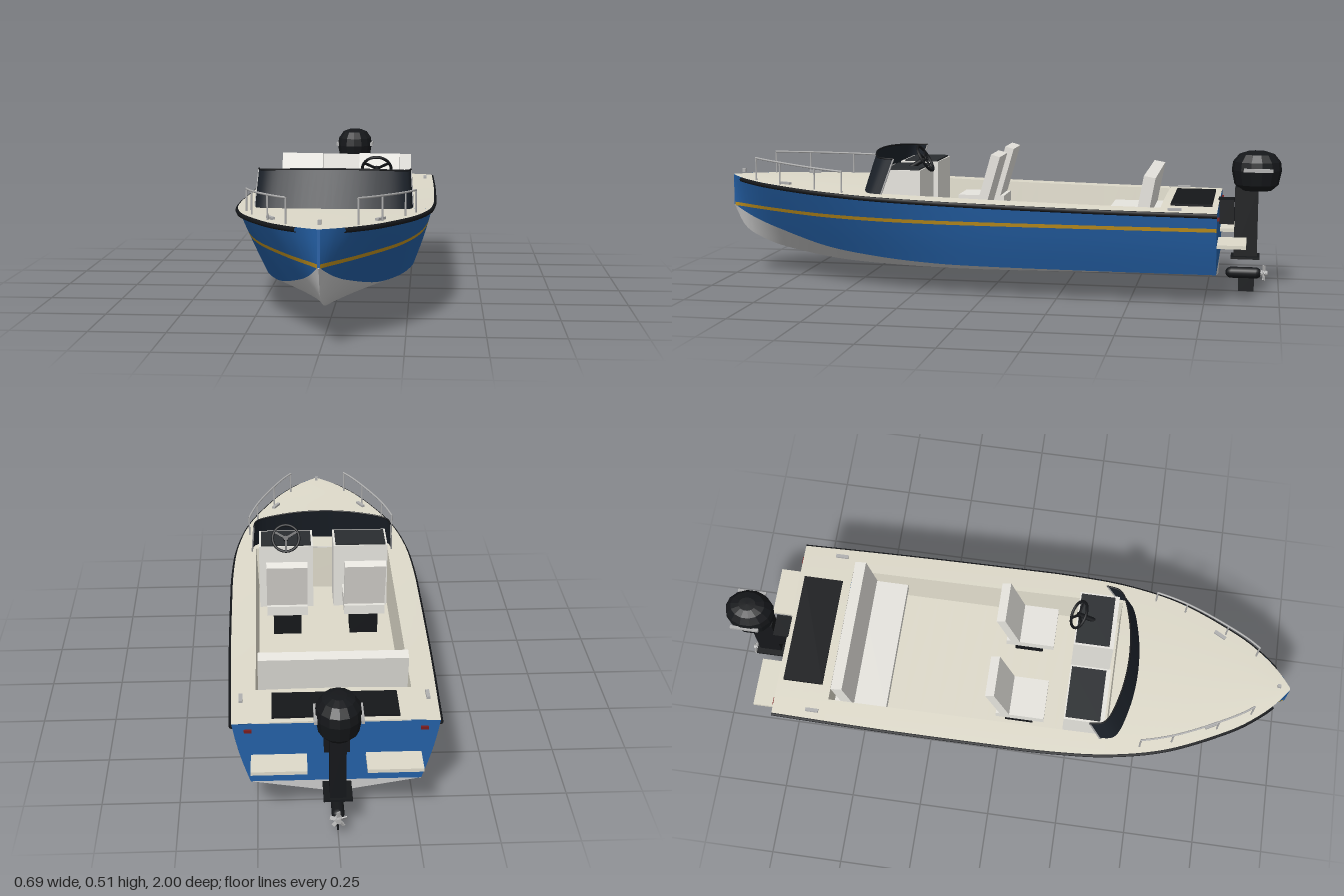
import * as THREE from 'three';
import { toCreasedNormals } from 'three/addons/utils/BufferGeometryUtils.js';

const BLUE = 0x2460a6, GOLD = 0xc4941f, GREY = 0xcccccc, CREAM = 0xdedaca, SEAT = 0xe6e4de,
  BLACK = 0x15171a, GLASS = 0x1c222a, DASH = 0x2a2d30, STEEL = 0xb0b0b0, RED = 0x7a1c1c;
const V = (x, y, z) => new THREE.Vector3(x, y, z);
const mat = (color, extra = {}) => new THREE.MeshStandardMaterial({ color, ...extra });

// Hull lines: half widths and heights at shared stations
const ZS = [-0.79, -0.4, 0, 0.2, 0.4, 0.6, 0.8, 0.9, 0.96, 1];
const line = (xs, ys) =>
  new THREE.CatmullRomCurve3(ZS.map((z, i) => V(xs ? xs[i] : 0, ys[i], z)), false, 'catmullrom');
const sheer = line([0.325, 0.333, 0.335, 0.333, 0.318, 0.272, 0.18, 0.112, 0.055, 0.004],
  [0.32, 0.325, 0.334, 0.34, 0.347, 0.355, 0.363, 0.368, 0.371, 0.373]);
const chine = line([0.27, 0.27, 0.268, 0.25, 0.21, 0.15, 0.075, 0.04, 0.018, 0.003],
  [0.105, 0.105, 0.107, 0.11, 0.12, 0.14, 0.185, 0.215, 0.24, 0.26]);
const keel = line(null, [0.06, 0.05, 0.045, 0.046, 0.053, 0.068, 0.105, 0.14, 0.18, 0.255]);

// Curve parameter at a given z
function tAt(z) {
  let a = 0, b = 1;
  for (let i = 0; i < 30; i++) {
    const m = (a + b) / 2;
    if (sheer.getPoint(m).z < z) a = m; else b = m;
  }
  return (a + b) / 2;
}
const range = (n, a, b) => Array.from({ length: n + 1 }, (_, i) => a + ((b - a) * i) / n);

// Skin a grid of points
function loft(rows) {
  const n = rows[0].length, index = [];
  for (let i = 0; i < rows.length - 1; i++)
    for (let j = 0; j < n - 1; j++) {
      const a = i * n + j, b = a + n;
      index.push(a, a + 1, b, b, a + 1, b + 1);
    }
  const g = new THREE.BufferGeometry().setFromPoints(rows.flat());
  g.setIndex(index);
  return toCreasedNormals(g, 0.6);
}

// Points up the topside between two heights
function topside(t, y0, y1, n) {
  const c = chine.getPoint(t), s = sheer.getPoint(t);
  return range(n, y0 ?? c.y, y1 ?? s.y).map((y) => {
    const k = THREE.MathUtils.clamp((y - c.y) / (s.y - c.y), 0, 1);
    return V(c.x + (s.x - c.x) * k + Math.sin(Math.PI * k) * 0.02 * c.x, Math.max(y, c.y), c.z);
  });
}
const flip = (pts) => pts.map((p) => V(-p.x, p.y, p.z)).reverse();

export function createModel() {
  const boat = new THREE.Group();
  boat.name = 'motorboat';
  const add = (name, geo, color, pos = [0, 0, 0], rot = [0, 0, 0], extra) => {
    const m = new THREE.Mesh(geo, mat(color, extra));
    m.name = name;
    m.position.set(...pos);
    m.rotation.set(...rot);
    boat.add(m);
  };
  const box = (name, color, size, pos, rot) => add(name, new THREE.BoxGeometry(...size), color, pos, rot);
  const skin = (name, rows, color) => add(name, loft(rows), color, undefined, undefined, { side: THREE.DoubleSide });
  const tube = (name, pts, r, color, seg = 24) =>
    add(name, new THREE.TubeGeometry(new THREE.CatmullRomCurve3(pts), seg, r, 8), color, undefined, undefined, { side: THREE.DoubleSide });

  // Hull: bottom, topsides, gold stripe and stem
  const ts = range(70, 0, 1);
  skin('hullBottom', ts.map((t) => {
    const c = chine.getPoint(t), k = keel.getPoint(t);
    return range(8, -1, 1).map((u) => V(c.x * u, k.y + (c.y - k.y) * Math.abs(u), c.z));
  }), GREY);
  const bands = [['lowerTopside', null, 0.256, 5, BLUE], ['stripe', 0.256, 0.269, 1, GOLD], ['upperTopside', 0.269, null, 3, BLUE]];
  for (const [name, y0, y1, n, color] of bands) {
    const rows = ts.map((t) => topside(t, y0, y1, n));
    skin(name + 'Left', rows, color);
    skin(name + 'Right', rows.map(flip), color);
  }
  box('stem', BLUE, [0.009, 0.113, 0.008], [0, 0.316, 0.996]);
  // Transom
  const c0 = chine.getPoint(0), k0 = keel.getPoint(0);
  skin('transom', topside(0, null, null, 6).map((p) => [p, V(-p.x, p.y, p.z)]), BLUE);
  skin('transomBottom', [[k0, k0.clone()], [c0, V(-c0.x, c0.y, c0.z)]], GREY);

  // Deck with cockpit opening
  const W = 0.25, FLOOR = 0.18, Z0 = -0.6, Z1 = 0.385;
  const deckRow = (z, from, to) => {
    const s = sheer.getPoint(tAt(z));
    return range(10, from ?? s.x, to ?? -s.x).map((x) => V(x, s.y + 0.02 * s.x * (1 - (x / s.x) ** 2), z));
  };
  const rim = (z) => deckRow(z, W, -W)[0].y;
  skin('rearDeck', range(4, -0.79, Z0).map((z) => deckRow(z)), CREAM);
  skin('foredeck', range(30, Z1, 1).map((z) => deckRow(z)), CREAM);
  const sideZ = range(16, Z0, Z1);
  skin('sideDeckLeft', sideZ.map((z) => deckRow(z, null, W)), CREAM);
  skin('sideDeckRight', sideZ.map((z) => deckRow(z, -W, null)), CREAM);
  // Cockpit liner
  const B = 0.241;
  skin('cockpitLiner', sideZ.map((z) =>
    [V(W, rim(z), z), V(B, FLOOR, z), V(-B, FLOOR, z), V(-W, rim(z), z)]), CREAM);
  for (const [z, s] of [[Z0, 1], [Z1, -1]])
    skin('cockpitBulkhead', [[V(-B * s, FLOOR, z), V(B * s, FLOOR, z)], deckRow(z, -W * s, W * s).filter((_, i) => i % 10 === 0)].reverse(), CREAM);

  // Windshield
  const arc = new THREE.CatmullRomCurve3([[-0.265, 0.365], [-0.252, 0.415], [-0.15, 0.455], [0, 0.472],
    [0.15, 0.455], [0.252, 0.415], [0.265, 0.365]].map(([x, z]) => V(x, 0.343, z)));
  const foot = arc.getPoints(36);
  const head = foot.map((p) => V(p.x * 0.965, 0.482 - 0.16 * p.x * p.x, p.z - 0.045));
  skin('windshield', [head, foot], GLASS);
  tube('windshieldTopFrame', head, 0.003, BLACK, 40);
  for (const i of [0, 36]) tube('windshieldSideFrame', [foot[i], head[i]], 0.003, STEEL, 1);

  for (const s of [-1, 1]) {
    // Console with dark dash top
    box('console', SEAT, [0.2, 0.25, 0.14], [0.138 * s, 0.305, 0.3]);
    box('dashTop', DASH, [0.185, 0.01, 0.12], [0.138 * s, 0.43, 0.295]);
    // Helm and passenger seats
    box('seatPedestal', BLACK, [0.1, 0.095, 0.1], [0.138 * s, 0.226, 0.07]);
    box('seatCushion', SEAT, [0.145, 0.035, 0.17], [0.138 * s, 0.29, 0.075]);
    box('seatBack', SEAT, [0.145, 0.21, 0.032], [0.138 * s, 0.383, -0.001], [-0.28, 0, 0]);
    // Rub rail
    const end = tAt(0.945);
    tube('rubRail', range(50, 0, end).map((t) => {
      const p = sheer.getPoint(t);
      return V(p.x * s, p.y - 0.008, p.z);
    }), 0.008, BLACK, 60);
    // Bow rail and posts
    const railAt = (z, h) => {
      const p = sheer.getPoint(tAt(z));
      return V((p.x - 0.024) * s, h ? 0.425 + (z - 0.5) * 0.06 : p.y, z);
    };
    tube('bowRail', range(10, 0.5, 0.875).map((z) => railAt(z, 1)), 0.0035, STEEL, 30);
    for (const z of [0.502, 0.61, 0.76, 0.873])
      tube('railPost', [railAt(z, 0), railAt(z, 1)], 0.003, STEEL, 1);
    // Cleats, stern lights and swim platforms
    for (const [x, z, a] of [[0.298, -0.65, 0], [0.17, 0.74, -0.5]]) {
      const y = sheer.getPoint(tAt(z)).y + 0.006;
      box('cleat', STEEL, [0.012, 0.008, 0.045], [x * s, y, z], [0, a * s, 0]);
    }
    box('sternLight', RED, [0.024, 0.01, 0.008], [0.275 * s, 0.295, -0.793]);
    box('swimPlatform', CREAM, [0.175, 0.012, 0.1], [0.18 * s, 0.2, -0.836]);
  }
  // Bow light
  box('bowLight', STEEL, [0.01, 0.014, 0.012], [0, 0.388, 0.96]);

  // Steering wheel: rim, spokes and column
  const wheel = new THREE.Group();
  wheel.name = 'steeringWheel';
  wheel.position.set(0.138, 0.462, 0.235);
  wheel.rotation.x = 0.55;
  const part = (name, geo, rz = 0, rx = 0, z = 0) => {
    const m = new THREE.Mesh(geo, mat(BLACK));
    m.name = name;
    m.position.z = z;
    m.rotation.set(rx, 0, rz);
    wheel.add(m);
  };
  part('wheelRim', new THREE.TorusGeometry(0.049, 0.005, 8, 28));
  for (let i = 0; i < 3; i++)
    part('wheelSpoke', new THREE.BoxGeometry(0.008, 0.048, 0.005).translate(0, 0.024, 0), Math.PI + (i * 2 * Math.PI) / 3);
  part('wheelColumn', new THREE.CylinderGeometry(0.009, 0.009, 0.07, 10), 0, Math.PI / 2, 0.03);
  boat.add(wheel);

  // Stern bench and deck mat
  box('benchBase', CREAM, [0.45, 0.07, 0.17], [0, 0.212, -0.495]);
  box('benchCushion', SEAT, [0.48, 0.035, 0.185], [0, 0.262, -0.492]);
  box('benchBack', SEAT, [0.485, 0.18, 0.04], [0, 0.338, -0.546], [-0.18, 0, 0]);
  box('sternMat', BLACK, [0.4, 0.008, 0.14], [0, 0.329, -0.7]);

  // Outboard motor
  const cowl = new THREE.LatheGeometry([[0, 0.36], [0.62, 0.36], [0.88, 0.38], [1, 0.43], [0.95, 0.46],
    [0.7, 0.486], [0.35, 0.496], [0, 0.497]].map(([r, y]) => new THREE.Vector2(r, y)), 14);
  cowl.scale(0.072, 1, 0.086);
  add('motorCowl', cowl, BLACK, [0, 0, -0.914], undefined, { flatShading: true });
  for (const s of [-1, 1])
    box('cowlTrim', STEEL, [0.01, 0.012, 0.1], [0.07 * s, 0.435, -0.92]);
  box('motorBracket', BLACK, [0.08, 0.085, 0.055], [0, 0.285, -0.813]);
  box('motorLeg', BLACK, [0.05, 0.245, 0.08], [0, 0.248, -0.882]);
  box('cavitationPlate', BLACK, [0.09, 0.008, 0.1], [0, 0.125, -0.882]);
  add('gearcase', new THREE.CapsuleGeometry(0.02, 0.085, 4, 12), BLACK, [0, 0.066, -0.877], [Math.PI / 2, 0, 0]);
  box('skeg', BLACK, [0.006, 0.055, 0.055], [0, 0.0275, -0.887]);
  add('propellerHub', new THREE.CylinderGeometry(0.009, 0.011, 0.025, 10), STEEL, [0, 0.066, -0.948], [-Math.PI / 2, 0, 0]);
  for (let i = 0; i < 5; i++) {
    const blade = new THREE.BoxGeometry(0.012, 0.022, 0.004).rotateY(0.6).translate(0, 0.017, 0);
    add('propellerBlade', blade, STEEL, [0, 0.066, -0.948], [0, 0, (i * 2 * Math.PI) / 5]);
  }
  return boat;
}
